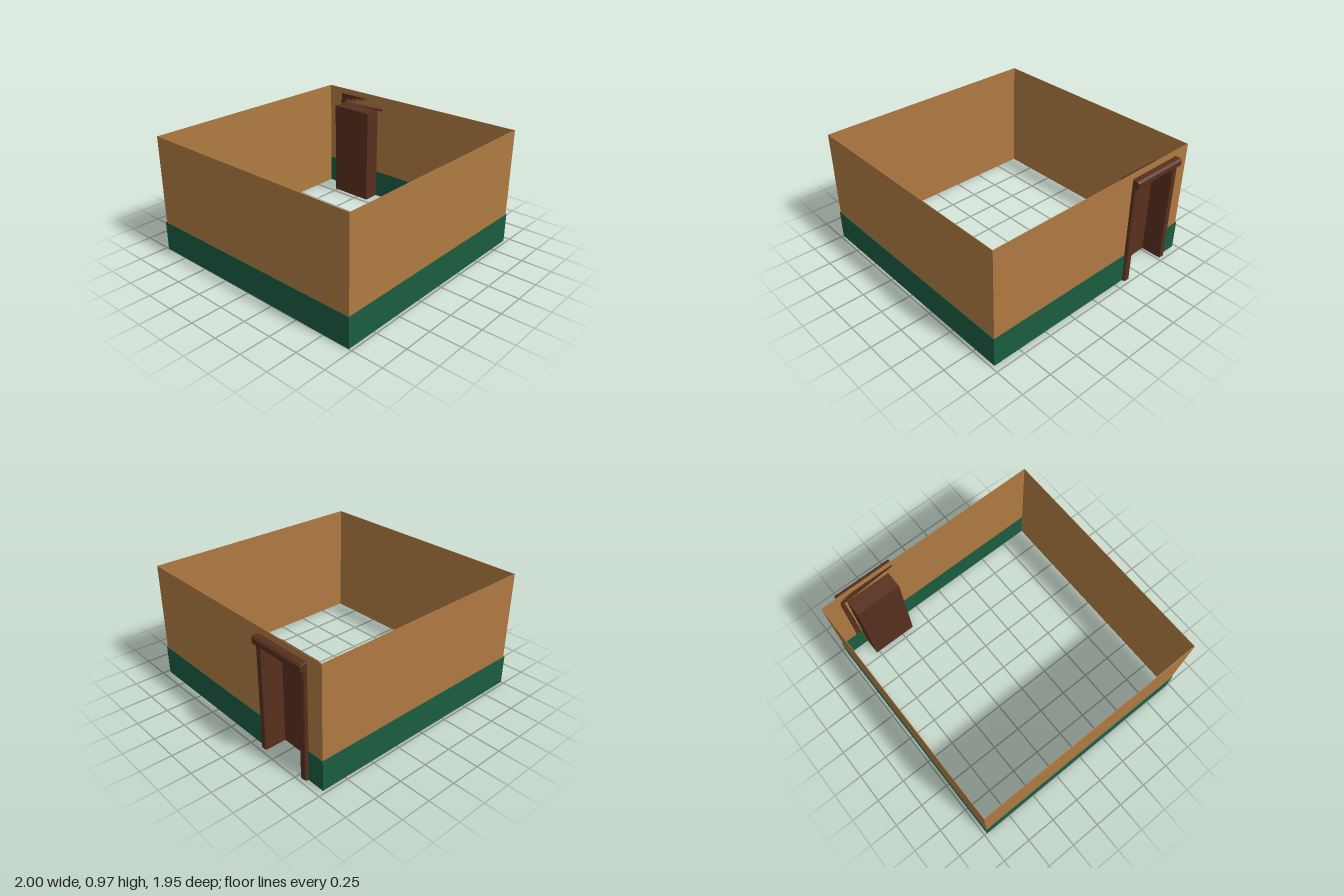
import * as THREE from 'three';

const mat = (color) => new THREE.MeshStandardMaterial({ color, side: THREE.DoubleSide, flatShading: true });
const tan = mat(0xb07a42), green = mat(0x1a5c40), brown = mat(0x58301e);

// Doorway opening in the +x wall
const door = { z0: -0.775, z1: -0.39, top: 0.84, back: 0.795 };

const polygon = (pts) => new THREE.Shape(pts.map(([a, b]) => new THREE.Vector2(a, b)));
const extrude = (pts, depth, extra = {}) =>
  new THREE.ExtrudeGeometry(polygon(pts), { depth, bevelEnabled: false, ...extra });

export function createModel() {
  const model = new THREE.Group();
  const add = (name, geometry, material, parent = model) => {
    const mesh = new THREE.Mesh(geometry, material);
    mesh.name = name;
    parent.add(mesh);
    return mesh;
  };
  const box = (name, x0, x1, y0, y1, z0, z1, material, parent) =>
    add(name, new THREE.BoxGeometry(x1 - x0, y1 - y0, z1 - z0)
      .translate((x0 + x1) / 2, (y0 + y1) / 2, (z0 + z1) / 2), material, parent);

  // Four-sided ring of thin panels, with the doorway cut from the +x side
  const ring = (name, [x0, x1, z0, z1], height, thick, doorThick, material) => {
    const group = new THREE.Group();
    group.name = name;
    box(name + 'Left', x0, x0 + thick, 0, height, z0, z1, material, group);
    box(name + 'Back', x0, x1, 0, height, z0, z0 + thick, material, group);
    box(name + 'Front', x0, x1, 0, height, z1 - thick, z1, material, group);
    const top = Math.min(door.top, height);
    if (height > door.top) {
      const outline = [[z0, 0], [door.z0, 0], [door.z0, top], [door.z1, top],
        [door.z1, 0], [z1, 0], [z1, height], [z0, height]];
      add(name + 'DoorSide', extrude(outline, doorThick).rotateY(-Math.PI / 2).translate(x1, 0, 0), material, group);
    } else {
      box(name + 'DoorSideA', x1 - doorThick, x1, 0, height, z0, door.z0, material, group);
      box(name + 'DoorSideB', x1 - doorThick, x1, 0, height, door.z1, z1, material, group);
    }
    model.add(group);
  };
  ring('upperWall', [-0.994, 0.942, -0.968, 0.971], 0.97, 0.004, 0.004, tan);
  ring('baseBand', [-1, 0.947, -0.976, 0.976], 0.243, 0.005, 0.011, green);

  // Recessed doorway: back panel, two sides and a ceiling, open underneath
  const recess = new THREE.Group();
  recess.name = 'doorRecess';
  model.add(recess);
  const t = 0.002;
  box('doorPanel', door.back, door.back + t, 0, door.top, door.z0, door.z1, brown, recess);
  box('recessSideA', door.back, 0.95, 0, door.top, door.z0, door.z0 + t, brown, recess);
  box('recessSideB', door.back, 0.95, 0, door.top, door.z1 - t, door.z1, brown, recess);
  box('recessCeiling', door.back, 0.95, door.top - t, door.top, door.z0, door.z1, brown, recess);

  // Chamfered jambs, mirrored about the middle of the doorway
  const frame = new THREE.Group();
  frame.name = 'doorFrame';
  model.add(frame);
  const mid = (door.z0 + door.z1) / 2;
  const inner = (door.z1 - door.z0) / 2, outer = 0.248;
  for (const s of [-1, 1]) {
    const profile = [[0.938, inner], [0.967, inner], [0.971, inner + 0.006], [0.971, outer - 0.012],
      [0.966, outer - 0.004], [0.955, outer], [0.938, outer]].map(([x, w]) => [x, -(mid + s * w)]);
    add(s > 0 ? 'frontJamb' : 'backJamb', extrude(profile, 0.86).rotateX(-Math.PI / 2), brown, frame);
  }

  // Moulded header across the jambs
  const header = [[0.948, 0.85], [0.966, 0.85], [0.976, 0.86], [0.988, 0.868],
    [0.99, 0.875], [0.99, 0.902], [0.982, 0.91], [0.948, 0.91]];
  add('header', extrude(header, 0.48, {
    bevelEnabled: true, bevelSize: 0.01, bevelThickness: 0.01, bevelSegments: 2,
  }).translate(0, 0, mid - 0.24), brown, frame);

  return model;
}
